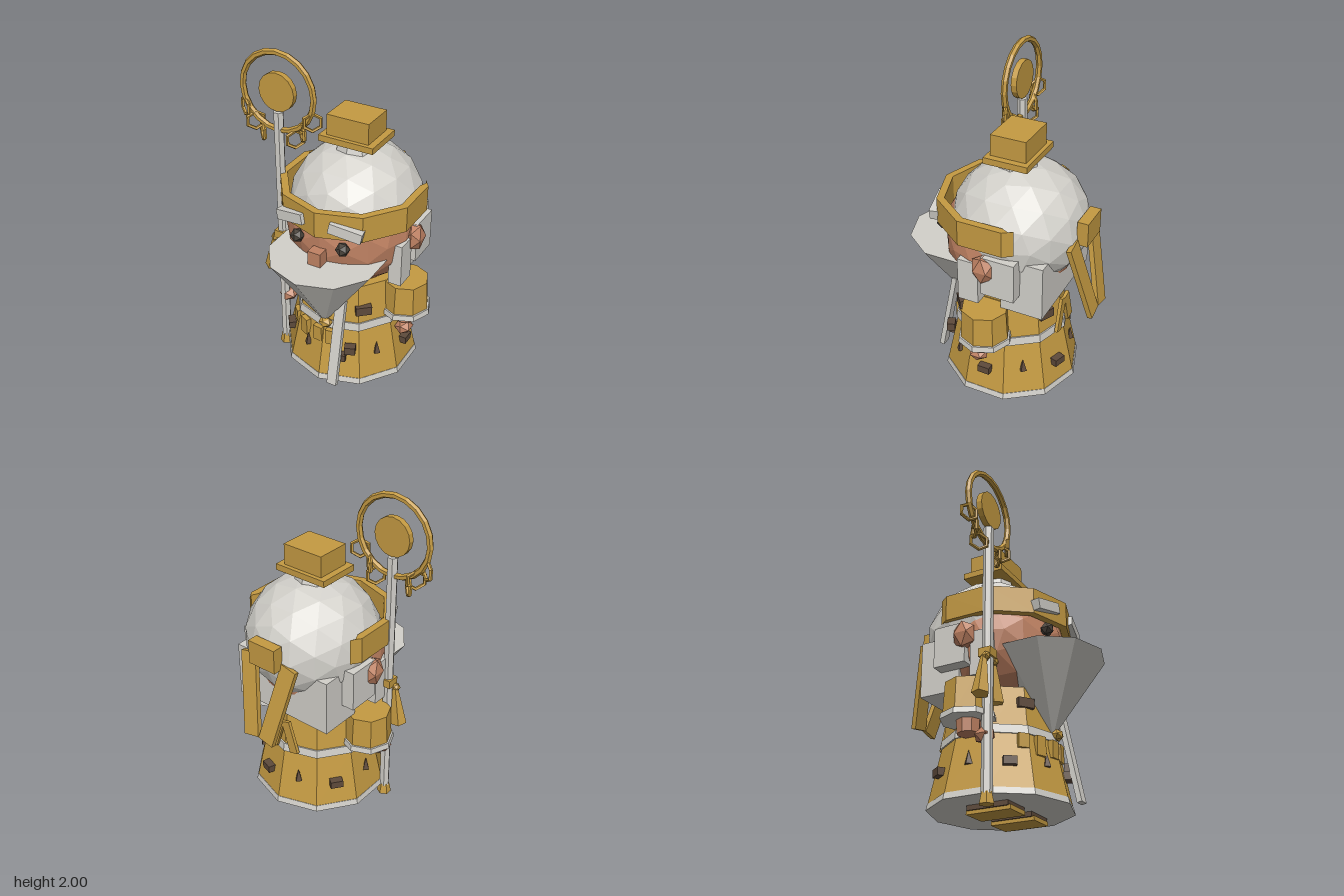
import * as THREE from 'three';

const mat = (name, color, side = THREE.FrontSide) => {
  const m = new THREE.MeshStandardMaterial({ color, flatShading: true, side });
  m.name = name;
  return m;
};

export function createModel() {
  const gold = mat('gold', 0xc49a42);
  const white = mat('white', 0xd2d0ca);
  const skin = mat('skin', 0xc08263);
  const brown = mat('brown', 0x5e4a3b);
  const dark = mat('dark', 0x4a433b);

  const model = new THREE.Group();
  const body = new THREE.Group();
  body.name = 'figure';
  body.position.set(0.075, 0, -0.045);
  model.add(body);

  const add = (parent, name, geo, material, x, y, z, rx = 0, ry = 0, rz = 0) => {
    const m = new THREE.Mesh(geo, material);
    m.name = name;
    m.position.set(x, y, z);
    m.rotation.set(rx, ry, rz);
    parent.add(m);
    return m;
  };
  const box = (w, h, d) => new THREE.BoxGeometry(w, h, d);
  const cyl = (rt, rb, h, n = 10) => new THREE.CylinderGeometry(rt, rb, h, n);
  const ball = (rx, ry = rx, rz = rx, detail = 0) =>
    new THREE.IcosahedronGeometry(1, detail).scale(rx, ry, rz);

  // Robe, from hem to shoulders
  add(body, 'hem', cyl(0.407, 0.415, 0.036), white, 0, 0.083, 0);
  add(body, 'robeSkirt', cyl(0.335, 0.405, 0.32), gold, 0, 0.26, 0);
  add(body, 'belt', cyl(0.338, 0.345, 0.05), white, 0, 0.44, 0);
  add(body, 'robeTop', cyl(0.295, 0.33, 0.24), gold, 0, 0.58, 0);

  // Front sash, knot and belt tabs
  add(body, 'sash', box(0.062, 0.56, 0.03), white, 0.11, 0.365, 0.378, -0.2);
  add(body, 'beltKnot', ball(0.045, 0.035, 0.035), gold, 0.015, 0.46, 0.345);
  for (const [a, h] of [[-0.72, 0.08], [-0.42, 0.11], [-0.1, 0.1], [0.14, 0.1]]) {
    add(body, 'beltTab', box(0.06, h, 0.03), gold,
      0.345 * Math.sin(a), 0.41 - h / 2, 0.345 * Math.cos(a), 0, a, 0);
  }

  // Small toggles and spikes set around the robe
  for (const [a, y, r] of [[-0.62, 0.6, 0.3], [0.72, 0.55, 0.31], [2.7, 0.58, 0.3]]) {
    add(body, 'toggle', box(0.095, 0.055, 0.05), brown, r * Math.sin(a), y, r * Math.cos(a), 0, a, 0);
  }
  for (let i = 0; i < 10; i++) {
    const a = (i + 0.5) * Math.PI / 5;
    const s = Math.sin(a), c = Math.cos(a);
    if (i % 2) add(body, 'spike', new THREE.ConeGeometry(0.025, 0.08, 4), brown, 0.355 * s, 0.285, 0.355 * c);
    else add(body, 'toggle', box(0.075, 0.045, 0.05), brown, 0.37 * s, 0.245, 0.37 * c, 0, a, 0);
  }
  add(body, 'toggle', box(0.065, 0.05, 0.05), brown, 0.175, 0.31, 0.335, 0, 0.4, 0);

  // Head, cap, nose and beard
  add(body, 'head', ball(0.39, 0.385, 0.385, 2), skin, 0, 1.0, 0);
  add(body, 'cap', ball(0.39, 0.365, 0.4, 2), white, 0, 1.105, -0.055);
  add(body, 'nose', box(0.08, 0.09, 0.1), skin, 0, 0.955, 0.39);
  const beard = cyl(0.342, 0.004, 0.465);
  const bp = beard.attributes.position;
  for (let i = 0; i < bp.count; i++) if (bp.getY(i) < 0) bp.setZ(i, bp.getZ(i) + 0.03);
  add(body, 'beard', beard, white, 0, 0.682, 0.295);

  // Headband, open at the back, built from ten-sided arcs
  const arc = (r) => {
    const pts = [];
    for (let k = -3; k <= 3; k++) pts.push([r * Math.sin(k * Math.PI / 5), r * Math.cos(k * Math.PI / 5)]);
    return pts;
  };
  const outline = [
    ...arc(0.43), [0.37, -0.187], [0.385, -0.16],
    ...arc(0.385).reverse(), [-0.385, -0.16], [-0.37, -0.187],
  ].map(([x, z]) => new THREE.Vector2(x, -z));
  const bandGeo = new THREE.ExtrudeGeometry(new THREE.Shape(outline), { depth: 0.155, bevelEnabled: false });
  bandGeo.rotateX(-Math.PI / 2);
  add(body, 'headband', bandGeo, gold, 0, 1.1, 0);

  // Topknot ornament
  add(body, 'topknotBase', cyl(0.1, 0.12, 0.07, 8), white, 0, 1.465, -0.035);
  add(body, 'topknotPlate', box(0.342, 0.037, 0.262), gold, 0, 1.513, -0.035);
  add(body, 'topknotBlock', box(0.262, 0.125, 0.212), gold, 0, 1.593, -0.035);

  // Hair at the back, ribbon knot
  add(body, 'backHair', box(0.66, 0.335, 0.255), white, 0, 0.863, -0.213);
  add(body, 'ribbonKnot', box(0.185, 0.145, 0.065), gold, -0.003, 1.152, -0.463);

  // Paired parts
  for (const s of [-1, 1]) {
    add(body, 'eye', ball(0.042), dark, s * 0.145, 1.035, 0.375);
    add(body, 'eyebrow', box(0.19, 0.062, 0.06), white, s * 0.17, 1.163, 0.38, 0, s * 0.2, -s * 0.2);
    add(body, 'ear', ball(0.055, 0.092, 0.075), skin, s * 0.4, 0.983, -0.015);
    add(body, 'sideburn', box(0.08, 0.265, 0.125), white, s * 0.355, 0.865, 0.085);
    add(body, 'sideHair', box(0.08, 0.24, 0.2), white, s * 0.37, 0.94, -0.105);
    add(body, 'ribbonTail', box(0.105, 0.5, 0.03), gold, s * 0.1, 0.865, -0.482, 0.22, 0, -s * 0.19);
    add(body, 'beltRibbon', box(0.06, 0.21, 0.02), gold, s * 0.05, 0.535, -0.335, 0, 0, s * 0.3);
    // Sleeve, cuff and arm
    add(body, 'sleeve', cyl(0.135, 0.145, 0.19, 8), gold, s * 0.36, 0.6, 0);
    add(body, 'cuff', cyl(0.155, 0.16, 0.034, 8), white, s * 0.36, 0.497, 0);
    add(body, 'arm', cyl(0.07, 0.065, 0.09, 8), skin, s * 0.368, 0.45, 0.005);
    // Foot
    add(body, 'foot', box(0.185, 0.035, 0.25), brown, s * 0.135, 0.055, 0.04);
    add(body, 'sole', box(0.165, 0.025, 0.27), gold, s * 0.135, 0.03, 0.04);
  }
  add(body, 'leftHand', ball(0.056, 0.048, 0.062), skin, 0.378, 0.36, 0.035);
  add(body, 'rightHand', ball(0.06, 0.048, 0.062), skin, -0.385, 0.375, 0.115);

  // Staff with ring, disc and hanging rings
  const staff = new THREE.Group();
  staff.name = 'staff';
  staff.position.set(-0.325, 0, 0.093);
  model.add(staff);
  add(staff, 'shaft', cyl(0.031, 0.031, 1.58, 6), white, 0, 0.845, 0, 0, Math.PI / 6, 0);
  add(staff, 'ferrule', cyl(0.03, 0.044, 0.065, 6), gold, 0, 0.033, 0);
  add(staff, 'bigRing', new THREE.TorusGeometry(0.23, 0.019, 6, 20), gold, 0, 1.753, 0);
  add(staff, 'disc', cyl(0.114, 0.114, 0.035, 16), gold, 0, 1.755, 0, Math.PI / 2);
  const ringSpots = [[0.22, 1.62, 0.6], [0.155, 1.545, -0.8], [0.108, 1.49, 0.8]];
  for (const s of [-1, 1]) {
    for (const [x, y, turn] of ringSpots) {
      add(staff, 'smallRing', new THREE.TorusGeometry(0.053, 0.011, 5, 6), gold, s * x, y, 0, 0, s * turn, Math.PI / 6);
    }
    // Tassels tied to the shaft
    add(staff, 'tasselBead', ball(0.028), gold, s * 0.045, 0.8, 0.015);
    add(staff, 'tassel', cyl(0.018, 0.05, 0.23, 5), gold, s * 0.065, 0.685, 0.005, 0, 0, s * 0.14);
  }
  add(staff, 'tasselKnot', box(0.075, 0.05, 0.075), gold, 0, 0.835, 0);

  return model;
}
